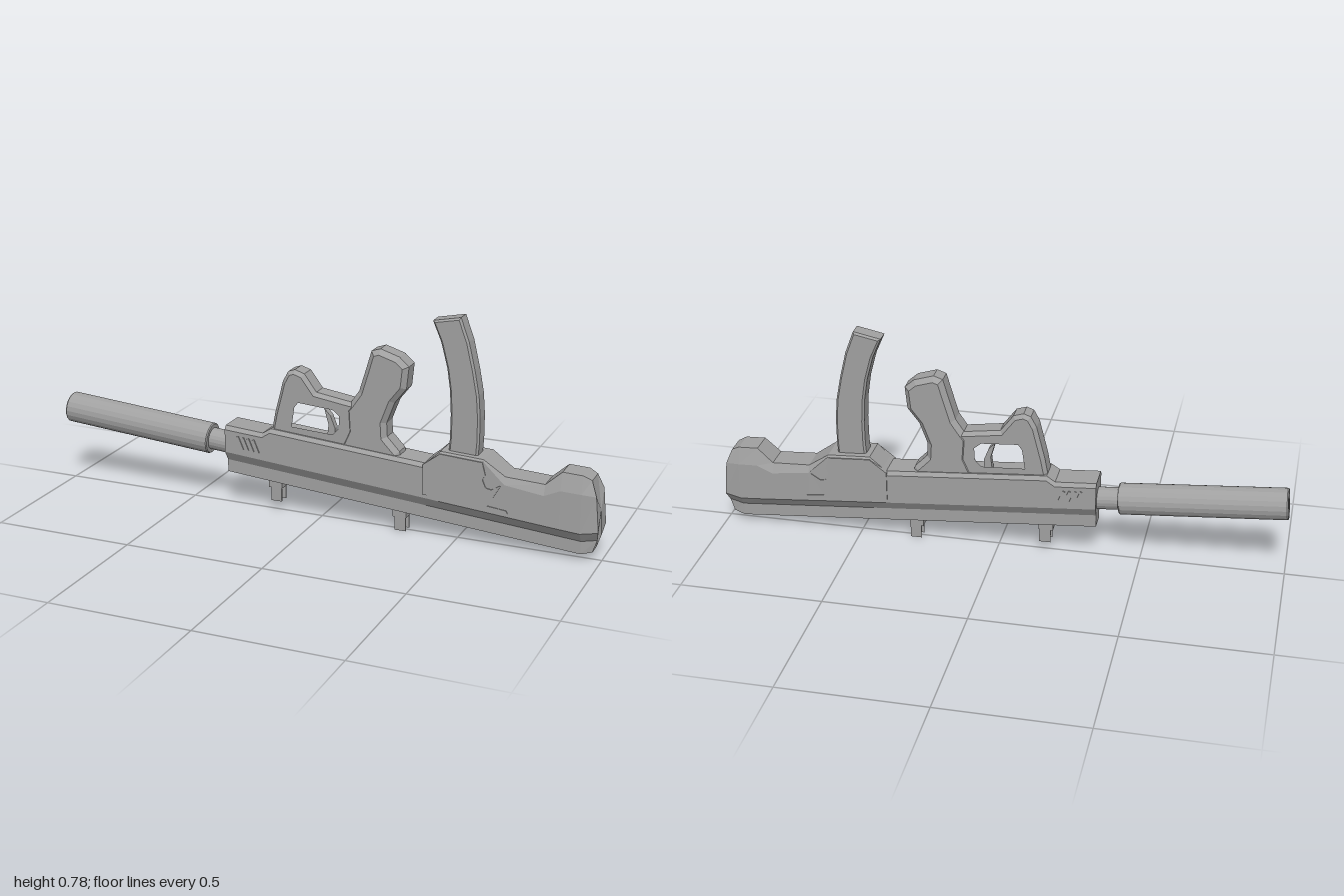
import * as THREE from 'three';

const grey = new THREE.MeshStandardMaterial({ color: 0xa0a0a0, flatShading: true });
const SLOPE = -0.079; // the long axis tips down toward +x

function add(group, name, geometry) {
  const mesh = new THREE.Mesh(geometry, grey);
  mesh.name = name;
  group.add(mesh);
  return mesh;
}

const baseY = (x) => 0.1 - 0.08 * x;

// Chamfered body lofted through stations along x
function loftBody(stations) {
  const rings = stations.map(({ x, top, w = 0.057, cw = 0.01, ch = 0.014, n = 0.034, lift = 0, bow = 0 }) => {
    const b = baseY(x) + lift;
    const half = [[n, b], [n, b + 0.045], [w, b + 0.08], [w, top - ch], [w - cw, top]];
    const loop = [...half, ...half.map(([z, y]) => [-z, y]).reverse()];
    return loop.map(([z, y]) => [x + bow * (1 - ((y - 0.15) / 0.14) ** 2), y, z]);
  });
  const pos = [];
  const tri = (a, b, c) => pos.push(...a, ...b, ...c);
  const N = rings[0].length;
  for (let i = 0; i < rings.length - 1; i++) {
    for (let k = 0; k < N; k++) {
      const m = (k + 1) % N, p = rings[i], q = rings[i + 1];
      tri(p[k], q[k], q[m]);
      tri(p[k], q[m], p[m]);
    }
  }
  const first = rings[0], last = rings[rings.length - 1];
  const centre = (r) => [(r[2][0] + r[3][0]) / 2, (r[2][1] + r[3][1]) / 2, 0];
  for (let k = 0; k < N; k++) {
    const m = (k + 1) % N;
    tri(centre(first), first[k], first[m]);
    tri(centre(last), last[m], last[k]);
  }
  const g = new THREE.BufferGeometry();
  g.setAttribute('position', new THREE.Float32BufferAttribute(pos, 3));
  g.computeVertexNormals();
  return g;
}

// Side outline extruded symmetrically about z = 0, bevelled inside its outline
function slab(outline, halfWidth, bevel, hole) {
  const toVec = (pts) => pts.map(([x, y]) => new THREE.Vector2(x, y));
  const shape = new THREE.Shape(toVec(outline));
  if (hole) shape.holes.push(new THREE.Path(toVec(hole)));
  const g = new THREE.ExtrudeGeometry(shape, {
    depth: 2 * (halfWidth - bevel), bevelEnabled: bevel > 0, bevelThickness: bevel,
    bevelSize: bevel, bevelOffset: -bevel, bevelSegments: 1,
  });
  g.translate(0, 0, -(halfWidth - bevel));
  return g;
}

export function createModel() {
  const model = new THREE.Group();
  model.name = 'model';

  // Receiver, magazine well and stock in one run
  add(model, 'body', loftBody([
    { x: -0.348, top: 0.304 },
    { x: -0.205, top: 0.294 },
    { x: -0.175, top: 0.314 },
    { x: 0.395, top: 0.27 },
    { x: 0.45, top: 0.322, w: 0.058, cw: 0.004, ch: 0.006 },
    { x: 0.6, top: 0.314, w: 0.058, cw: 0.004, ch: 0.006 },
    { x: 0.675, top: 0.262, w: 0.059, cw: 0.012, ch: 0.025 },
    { x: 0.81, top: 0.255, w: 0.06, cw: 0.015, ch: 0.035 },
    { x: 0.865, top: 0.305, w: 0.06, cw: 0.018, ch: 0.06 },
    { x: 0.935, top: 0.302, w: 0.059, cw: 0.017, ch: 0.06 },
    { x: 0.962, top: 0.288, w: 0.051, cw: 0.015, ch: 0.05, n: 0.027, lift: 0.012, bow: 0.035 },
  ]));

  // Raised side cover around the magazine well, with a hooked notch
  add(model, 'sideCover', slab([
    [0.39, 0.162], [0.69, 0.138], [0.685, 0.148], [0.62, 0.155], [0.665, 0.235], [0.632, 0.214],
    [0.612, 0.218], [0.6, 0.245], [0.61, 0.262], [0.598, 0.305], [0.45, 0.314], [0.39, 0.268],
  ], 0.0615, 0));

  // Slanted vent ribs on both sides
  for (const side of [-1, 1]) {
    for (let i = 0; i < 4; i++) {
      const x = -0.288 + i * 0.02;
      const rib = add(model, 'ventRib', new THREE.BoxGeometry(0.008, 0.05, 0.006));
      rib.position.set(x, 0.228 + SLOPE * x * 0.9, side * 0.058);
      rib.rotation.z = 0.4;
    }
  }

  // Suppressor with an open bore, stepping down to the barrel
  const profile = [[0, 0.12], [0.02, 0.12], [0.02, 0], [0.052, 0], [0.055, 0.004], [0.055, 0.571],
    [0.052, 0.575], [0.039, 0.575], [0.039, 0.68], [0, 0.68]];
  const barrel = add(model, 'suppressorAndBarrel',
    new THREE.LatheGeometry(profile.map(([r, y]) => new THREE.Vector2(r, y)), 20));
  barrel.position.set(-0.996, 0.275, 0);
  barrel.rotation.z = -Math.PI / 2 + SLOPE;

  // Trigger guard loop
  add(model, 'triggerGuard', slab([
    [-0.18, 0.29], [-0.165, 0.37], [-0.135, 0.487], [-0.115, 0.524], [-0.09, 0.533], [-0.055, 0.522],
    [-0.01, 0.462], [0.115, 0.444], [0.19, 0.44], [0.19, 0.27],
  ], 0.041, 0.013, [
    [-0.112, 0.318], [-0.1, 0.406], [-0.08, 0.433], [0.06, 0.423], [0.093, 0.396], [0.09, 0.34], [0.06, 0.308],
  ]));

  // Pistol grip
  add(model, 'grip', slab([
    [0.08, 0.28], [0.105, 0.345], [0.1, 0.42], [0.118, 0.444], [0.147, 0.487], [0.172, 0.57], [0.19, 0.632],
    [0.222, 0.643], [0.29, 0.622], [0.324, 0.592], [0.316, 0.513], [0.275, 0.46], [0.247, 0.385],
    [0.25, 0.337], [0.295, 0.29], [0.3, 0.26],
  ], 0.044, 0.017));

  // Trigger
  add(model, 'trigger', slab([
    [0.012, 0.402], [0.035, 0.378], [0.052, 0.335], [0.05, 0.29], [0.022, 0.29], [0.028, 0.345],
  ], 0.012, 0));

  // Curved magazine
  add(model, 'magazine', slab([
    [0.466, 0.28], [0.472, 0.36], [0.473, 0.444], [0.468, 0.53], [0.457, 0.604], [0.434, 0.69], [0.404, 0.76],
    [0.5, 0.78], [0.53, 0.7], [0.553, 0.604], [0.569, 0.52], [0.575, 0.444], [0.575, 0.36], [0.57, 0.28],
  ], 0.032, 0.007));

  // Two clip lugs under the body
  for (const x of [-0.17, 0.295]) {
    const lug = new THREE.Group();
    lug.name = 'clipLug';
    add(lug, 'lugBlock', new THREE.BoxGeometry(0.05, 0.03, 0.044)).position.y = -0.012;
    for (const side of [-1, 1]) {
      add(lug, 'lugProng', new THREE.BoxGeometry(0.04, 0.07, 0.005)).position.set(0.003, -0.041, side * 0.018);
    }
    const pin = add(lug, 'lugPin', new THREE.CylinderGeometry(0.009, 0.009, 0.036, 8));
    pin.rotation.x = Math.PI / 2;
    pin.position.y = -0.035;
    lug.position.set(x, baseY(x), 0);
    model.add(lug);
  }
  return model;
}
